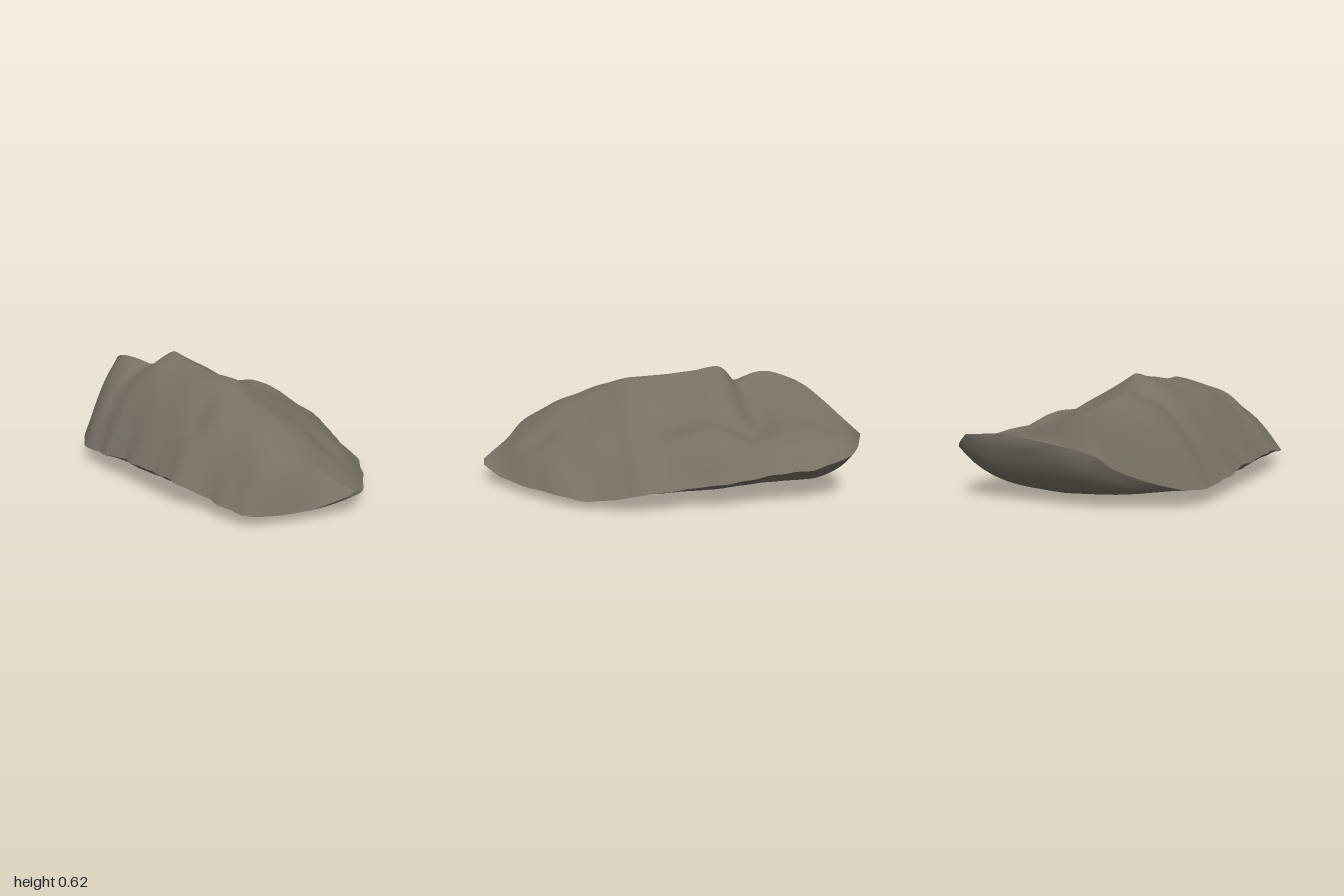
import * as THREE from 'three';
import { mergeVertices, toCreasedNormals } from 'three/addons/utils/BufferGeometryUtils.js';

// Cross-sections from back to front:
// z, left rim x, y, ridge x, y, right rim x, y, underside y
const SECTIONS = [
  [-1.00, 0.10, 0.34, 0.30, 0.37, 0.54, 0.35, 0.31],
  [-0.96, -0.14, 0.29, 0.02, 0.43, 0.61, 0.29, 0.21],
  [-0.90, -0.24, 0.21, -0.10, 0.48, 0.64, 0.25, 0.12],
  [-0.80, -0.40, 0.14, -0.16, 0.53, 0.65, 0.22, 0.05],
  [-0.70, -0.51, 0.10, -0.20, 0.56, 0.67, 0.20, 0.042],
  [-0.58, -0.59, 0.09, -0.18, 0.55, 0.67, 0.19, 0.036],
  [-0.48, -0.60, 0.10, -0.12, 0.54, 0.66, 0.18, 0.03],
  [-0.36, -0.63, 0.11, -0.09, 0.62, 0.67, 0.16, 0.022],
  [-0.20, -0.63, 0.13, -0.11, 0.60, 0.66, 0.14, 0.006],
  [0.00, -0.66, 0.14, -0.13, 0.56, 0.65, 0.12, 0.003],
  [0.18, -0.66, 0.14, -0.13, 0.545, 0.67, 0.11, 0.01],
  [0.30, -0.68, 0.14, -0.15, 0.50, 0.62, 0.08, 0.015],
  [0.45, -0.63, 0.10, -0.15, 0.44, 0.55, 0.05, 0.02],
  [0.60, -0.62, 0.08, -0.18, 0.39, 0.46, 0.06, 0.025],
  [0.76, -0.58, 0.06, -0.20, 0.30, 0.29, 0.06, 0.035],
  [0.90, -0.34, 0.06, -0.16, 0.19, 0.12, 0.07, 0.045],
  [1.00, -0.13, 0.11, -0.08, 0.125, -0.02, 0.11, 0.10],
];

// Dents and bumps on the upper face: x, z, radius x, radius z, height
const DENTS = [
  [0.40, -0.42, 0.10, 0.10, -0.035],
  [0.15, -0.54, 0.22, 0.07, -0.03],
  [-0.46, 0.26, 0.06, 0.06, -0.025],
  [-0.27, 0.10, 0.13, 0.13, 0.015],
  [-0.36, 0.42, 0.14, 0.14, 0.02],
  [0.05, 0.66, 0.07, 0.11, -0.03],
  [0.30, 0.42, 0.12, 0.10, 0.02],
  [-0.10, -0.47, 0.07, 0.05, -0.02],
];

const lerp = THREE.MathUtils.lerp;
const smooth = THREE.MathUtils.smoothstep;
const FLANK = 18, UNDER = 22, STEPS = 5;

// Rolling surface undulation
const roll = (x, z) =>
  0.005 * Math.sin(9 * x + 5 * z + 1) + 0.004 * Math.sin(13 * z - 7 * x) + 0.003 * Math.sin(23 * z + 17 * x);

// Cubic blend of neighbouring cross-sections
function sectionAt(i, f) {
  const row = k => SECTIONS[THREE.MathUtils.clamp(k, 0, SECTIONS.length - 1)];
  const [a, b, c, d] = [row(i - 1), row(i), row(i + 1), row(i + 2)];
  return b.map((p, k) => {
    const m0 = (c[k] - a[k]) / 2, m1 = (d[k] - p) / 2, f2 = f * f, f3 = f2 * f;
    return p * (2 * f3 - 3 * f2 + 1) + m0 * (f3 - 2 * f2 + f) + c[k] * (3 * f2 - 2 * f3) + m1 * (f3 - f2);
  });
}

// One closed loop: left flank, right flank, then underside
function ring([z, lx, ly, rx, ry, px, py, by]) {
  const points = [];
  const ends = smooth(1 - Math.abs(z), 0, 0.25);
  // Chips in the rim, fading out quickly away from it
  const chipL = ends * (0.005 * Math.sin(29 * z) + 0.005 * Math.sin(47 * z + 2));
  const chipR = ends * (0.005 * Math.sin(25 * z + 1) + 0.005 * Math.sin(43 * z));
  const top = (x, y, edge) => {
    let h = roll(x, z);
    for (const [dx, dz, w, d, amount] of DENTS)
      h += amount * Math.exp(-(((x - dx) / w) ** 2) - ((z - dz) / d) ** 2);
    points.push([x, y + h * edge * ends, z]);
  };
  // The left flank bulges, less where it is narrow
  const bulge = 0.105 * ends * Math.min(1, (rx - lx) / 0.5);
  for (let j = 0; j < FLANK; j++) {
    const t = j / FLANK;
    top(lerp(lx, rx, t) + chipL * (1 - t) ** 8, lerp(ly, ry, t) + bulge * Math.sin(Math.PI * t), smooth(t, 0, 0.25));
  }
  // The right flank carries a spur in the middle and a low bench behind it
  const bench = 1 - smooth(z, -0.35, 0.45);
  const spur = 0.05 * bench + 0.08 * Math.exp(-(((z + 0.14) / 0.26) ** 2));
  for (let j = 0; j < FLANK; j++) {
    const t = j / FLANK;
    const swell = spur * Math.exp(-(((t - 0.8) / 0.22) ** 2)) * Math.min(1, (1 - t) * 8);
    const arch = lerp(0.055, -0.005, bench) * Math.sin(Math.PI * t);
    top(lerp(rx, px, t) + chipR * t ** 8, lerp(ry, py, t) + (swell + arch) * ends, smooth(1 - t, 0, 0.25));
  }
  // Shallow keel below, blunter on the left
  for (let j = 0; j < UNDER; j++) {
    const t = j / UNDER, s = Math.abs(2 * t - 1);
    const x = lerp(px, lx, t) + chipR * (1 - t) ** 8 + chipL * t ** 8;
    const keel = by + 0.06 * Math.abs(x - 0.1) * ends;
    points.push([x, lerp(keel, lerp(py, ly, t), s ** lerp(3.5, 7, t)), z]);
  }
  return points;
}

function rockGeometry() {
  const rings = [];
  for (let i = 0; i < SECTIONS.length - 1; i++)
    for (let k = 0; k < STEPS; k++) rings.push(ring(sectionAt(i, k / STEPS)));
  rings.push(ring(SECTIONS[SECTIONS.length - 1]));

  // Close both ends by collapsing a loop to its centre
  const collapse = loop => {
    const c = [0, 1, 2].map(k => loop.reduce((sum, p) => sum + p[k], 0) / loop.length);
    return loop.map(() => c);
  };
  rings.unshift(collapse(rings[0]));
  rings.push(collapse(rings[rings.length - 1]));

  const n = rings[0].length, last = rings.length - 2, index = [];
  for (let i = 0; i <= last; i++)
    for (let j = 0; j < n; j++) {
      const a = i * n + j, b = i * n + (j + 1) % n, c = a + n, d = b + n;
      if (i > 0) index.push(a, c, b);
      if (i < last) index.push(b, c, d);
    }
  const geometry = new THREE.BufferGeometry();
  geometry.setAttribute('position', new THREE.Float32BufferAttribute(rings.flat(2), 3));
  geometry.setIndex(index);
  return toCreasedNormals(mergeVertices(geometry, 1e-5), 0.6);
}

export function createModel() {
  const group = new THREE.Group();
  group.name = 'rock';
  const stone = new THREE.MeshStandardMaterial({ color: 0x767063 });
  stone.name = 'stone';
  const boulder = new THREE.Mesh(rockGeometry(), stone);
  boulder.name = 'boulder';
  group.add(boulder);
  return group;
}
